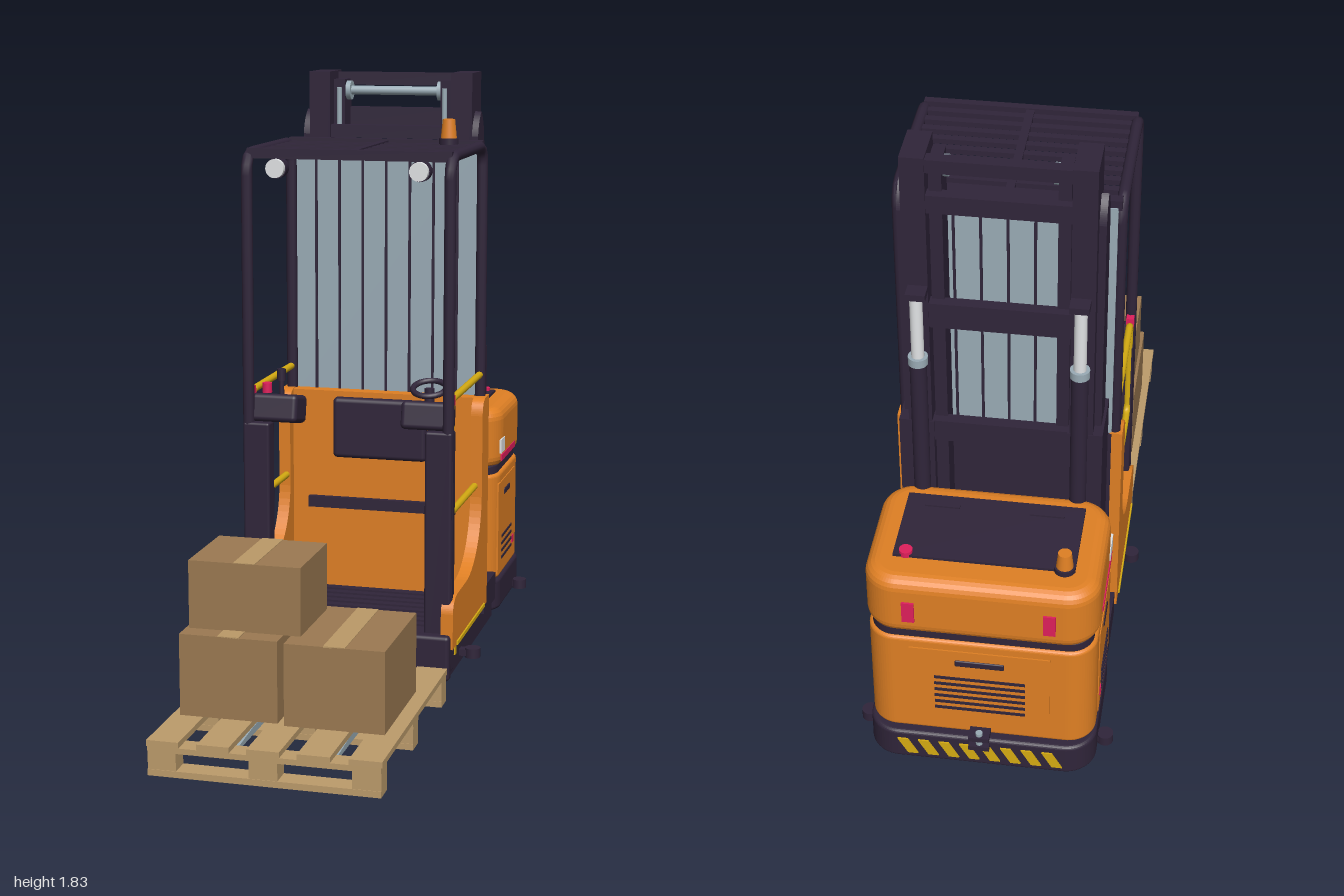
import * as THREE from 'three';
import { RoundedBoxGeometry } from 'three/addons/geometries/RoundedBoxGeometry.js';

const mat = (name, color) => {
  const m = new THREE.MeshStandardMaterial({ color });
  m.name = name;
  return m;
};

export function createModel() {
  const root = new THREE.Group();
  root.name = 'orderPicker';
  const dark = mat('charcoal', 0x30253a), orange = mat('orange', 0xe08024), yellow = mat('yellow', 0xd6ac12);
  const steel = mat('steel', 0x9aacb6), wood = mat('pallet wood', 0xbd9c6c), card = mat('cardboard', 0x9c7a52);
  const tape = mat('tape', 0xbc9a68), red = mat('signal red', 0xe01f5c), white = mat('white', 0xe2e4e6);

  const add = (name, geo, m, x = 0, y = 0, z = 0) => {
    const mesh = new THREE.Mesh(geo, m);
    mesh.name = name;
    mesh.position.set(x, y, z);
    root.add(mesh);
    return mesh;
  };
  // box from its extents, optionally rounded
  const box = (name, m, x0, x1, y0, y1, z0, z1, r = 0) => {
    const s = [Math.abs(x1 - x0), y1 - y0, Math.abs(z1 - z0)];
    const g = r ? new RoundedBoxGeometry(...s, 3, r) : new THREE.BoxGeometry(...s);
    return add(name, g, m, (x0 + x1) / 2, (y0 + y1) / 2, (z0 + z1) / 2);
  };
  const cyl = (name, m, r, h, x, y, z, axis = 'y', r2 = r) => {
    const c = add(name, new THREE.CylinderGeometry(r2, r, h, 24), m, x, y, z);
    if (axis === 'x') c.rotation.z = Math.PI / 2;
    if (axis === 'z') c.rotation.x = Math.PI / 2;
    return c;
  };
  // upright prism with rounded plan corners and softened edges
  const prism = (name, m, w, y0, y1, z0, z1, r, bevel) => {
    const a = w / 2 - bevel, b = (z1 - z0) / 2 - bevel, s = new THREE.Shape();
    const q = r - bevel;
    s.absarc(a - q, b - q, q, 0, Math.PI / 2);
    s.absarc(-a + q, b - q, q, Math.PI / 2, Math.PI);
    s.absarc(-a + q, -b + q, q, Math.PI, Math.PI * 1.5);
    s.absarc(a - q, -b + q, q, Math.PI * 1.5, Math.PI * 2);
    const g = new THREE.ExtrudeGeometry(s, { depth: y1 - y0 - 2 * bevel, bevelThickness: bevel, bevelSize: bevel, bevelSegments: 5, curveSegments: 8 });
    g.rotateX(-Math.PI / 2);
    return add(name, g, m, 0, y0 + bevel, (z0 + z1) / 2);
  };
  // side profile in (z, y), extruded across x
  const side = (name, m, shape, x0, x1) => {
    const g = new THREE.ExtrudeGeometry(shape, { depth: x1 - x0, bevelEnabled: false, curveSegments: 16 });
    g.rotateY(-Math.PI / 2);
    return add(name, g, m, x1, 0, 0);
  };
  // pipe along straight runs with rounded corners
  const pipe = (name, m, pts, r, bend) => {
    const v = pts.map(p => new THREE.Vector3(...p)), path = new THREE.CurvePath();
    let last = v[0];
    for (let i = 1; i < v.length - 1; i++) {
      const a = v[i].clone().add(v[i - 1].clone().sub(v[i]).setLength(bend));
      const b = v[i].clone().add(v[i + 1].clone().sub(v[i]).setLength(bend));
      path.add(new THREE.LineCurve3(last, a));
      path.add(new THREE.QuadraticBezierCurve3(a, v[i], b));
      last = b;
    }
    path.add(new THREE.LineCurve3(last, v[v.length - 1]));
    return add(name, new THREE.TubeGeometry(path, 90, r, 10), m);
  };
  const both = fn => [-1, 1].forEach(fn);

  // chassis
  box('frontChassis', dark, -0.31, 0.31, 0.035, 0.14, -0.56, 0.15);
  prism('rearChassis', dark, 0.66, 0.05, 0.155, -0.98, -0.52, 0.09, 0.012);
  box('frontBumper', dark, -0.325, 0.325, 0.045, 0.185, 0.135, 0.178, 0.012);
  box('undersideHatch', dark, -0.2, 0.2, 0.042, 0.052, -0.85, -0.6);
  box('mastFoot', dark, -0.325, 0.325, 0.1, 0.19, -0.54, -0.355);
  both(s => {
    cyl('frontWheel', dark, 0.05, 0.06, s * 0.26, 0.05, 0.085, 'x');
    cyl('wheelHub', steel, 0.018, 0.07, s * 0.27, 0.05, 0.085, 'x');
    [-0.76, -0.83].forEach(z => {
      cyl('rearWheel', dark, 0.035, 0.05, s * 0.27, 0.038, z, 'x');
      cyl('rearHub', steel, 0.012, 0.06, s * 0.27, 0.038, z, 'x');
    });
    [-0.84, -0.055].forEach(z => {
      cyl('guideRoller', dark, 0.024, 0.03, s * 0.35, 0.07, z);
      box('rollerArm', dark, s * 0.3, s * 0.345, 0.06, 0.08, z - 0.016, z + 0.016);
    });
    box('sillStripe', yellow, s * 0.315, s * 0.337, 0.14, 0.152, -0.31, 0.1);
    box('chassisLabel', yellow, s * 0.308, s * 0.314, 0.085, 0.115, 0.015, 0.035);
  });

  // battery compartment and hood
  prism('batteryCase', orange, 0.65, 0.155, 0.512, -0.955, -0.53, 0.08, 0.012);
  prism('hoodSeal', dark, 0.63, 0.5, 0.54, -0.945, -0.54, 0.07, 0.005);
  prism('hood', orange, 0.66, 0.527, 0.73, -0.96, -0.535, 0.095, 0.04);
  box('hoodTopPlate', dark, -0.255, 0.255, 0.725, 0.738, -0.86, -0.6);
  both(s => {
    box('sidePanel', orange, s * 0.322, s * 0.328, 0.175, 0.48, -0.84, -0.565);
    box('sideHandle', dark, s * 0.322, s * 0.331, 0.425, 0.445, -0.75, -0.66, 0.004);
    for (let i = 0; i < 4; i++) box('sideLouver', dark, s * 0.324, s * 0.331, 0.215 + i * 0.024, 0.223 + i * 0.024, -0.79, -0.62);
    box('sideLabel', red, s * 0.324, s * 0.331, 0.222, 0.248, -0.824, -0.802);
    box('hoodStripe', red, s * 0.327, s * 0.333, 0.555, 0.575, -0.82, -0.59);
    box('hoodBadge', white, s * 0.327, s * 0.333, 0.582, 0.628, -0.64, -0.575);
    box('tailLight', red, s * 0.18, s * 0.215, 0.585, 0.655, -0.966, -0.958);
    box('hoodGrip', dark, s * 0.1, s * 0.2, 0.737, 0.743, -0.652, -0.638);
  });
  box('rearPanel', orange, -0.2, 0.2, 0.19, 0.48, -0.959, -0.953);
  box('rearHandle', dark, -0.07, 0.07, 0.425, 0.447, -0.963, -0.955, 0.004);
  for (let i = 0; i < 6; i++) box('rearLouver', dark, -0.13, 0.13, 0.25 + i * 0.024, 0.259 + i * 0.024, -0.962, -0.955);
  cyl('hoodBeacon', orange, 0.025, 0.055, -0.225, 0.765, -0.85, 'y', 0.019);
  cyl('beaconBase', dark, 0.03, 0.02, -0.225, 0.735, -0.85);
  cyl('stopButton', red, 0.019, 0.02, 0.22, 0.738, -0.845);
  // hazard stripes and tow hitch
  for (let i = 0; i < 8; i++) {
    const s = new THREE.Shape([[0, 0], [0.03, 0], [0.06, 0.055], [0.03, 0.055]].map(p => new THREE.Vector2(...p)));
    add('hazardStripe', new THREE.ExtrudeGeometry(s, { depth: 0.006, bevelEnabled: false }), yellow, -0.24 + i * 0.06, 0.075, -0.985);
  }
  box('towHitch', dark, -0.03, 0.03, 0.13, 0.145, -1, -0.95);
  box('towHitch', dark, -0.03, 0.03, 0.165, 0.18, -1, -0.95);
  cyl('towPin', steel, 0.01, 0.06, 0, 0.16, -0.985);

  // mast
  both(s => {
    box('lowerMastPillar', dark, s * 0.19, s * 0.29, 0.15, 0.95, -0.53, -0.358);
    box('outerMast', dark, s * 0.195, s * 0.262, 0.18, 1.825, -0.528, -0.39);
    box('innerMast', dark, s * 0.155, s * 0.19, 0.2, 1.8, -0.5, -0.42);
    cyl('liftChain', steel, 0.008, 1.55, s * 0.17, 1.0, -0.41);
    cyl('liftBarrel', dark, 0.024, 0.85, s * 0.225, 0.77, -0.55);
    cyl('liftCollar', steel, 0.028, 0.025, s * 0.225, 1.185, -0.55);
    cyl('liftRod', white, 0.018, 0.21, s * 0.225, 1.3, -0.55);
    box('rodCap', dark, s * 0.195, s * 0.25, 1.4, 1.42, -0.575, -0.52);
    // pointed guide plate on the flank of the mast
    const p = new THREE.Shape();
    p.moveTo(-0.39, 0.3); p.lineTo(-0.39, 1.63);
    p.quadraticCurveTo(-0.4, 1.68, -0.44, 1.705);
    p.quadraticCurveTo(-0.475, 1.68, -0.485, 1.63);
    p.lineTo(-0.485, 0.3);
    side('guidePlate', dark, p, s > 0 ? 0.262 : -0.282, s > 0 ? 0.282 : -0.262);
  });
  [[1.78, 1.82], [1.655, 1.71], [1.28, 1.36], [0.88, 0.95]].forEach(([a, b]) => box('mastCrossbar', dark, -0.2, 0.2, a, b, -0.525, -0.49));
  box('lowerMastPlate', dark, -0.2, 0.2, 0.18, 0.8, -0.42, -0.37);
  cyl('topRoller', steel, 0.014, 0.3, 0, 1.765, -0.455, 'x');
  both(s => cyl('rollerEnd', steel, 0.03, 0.02, s * 0.15, 1.765, -0.455, 'x'));
  box('carriageBar', dark, -0.19, 0.19, 1.62, 1.66, -0.42, -0.38);

  // ribbed screen behind the operator
  box('screen', steel, -0.3, 0.3, 0.8, 1.6, -0.355, -0.345);
  for (let i = -3; i <= 3; i++) box('screenRib', dark, i * 0.076 - 0.004, i * 0.076 + 0.004, 0.82, 1.6, -0.358, -0.341);

  // cab shell
  const p = new THREE.Shape();
  p.moveTo(0.155, 0.14); p.lineTo(0.155, 0.25);
  p.quadraticCurveTo(0.15, 0.295, 0.09, 0.298); p.lineTo(-0.05, 0.3);
  p.bezierCurveTo(-0.16, 0.31, -0.255, 0.39, -0.262, 0.51);
  p.lineTo(-0.262, 0.77); p.quadraticCurveTo(-0.265, 0.82, -0.31, 0.822);
  p.lineTo(-0.36, 0.822); p.lineTo(-0.36, 0.14);
  side('sideShell', orange, p, 0.295, 0.332);
  side('sideShell', orange, p, -0.332, -0.295);
  box('backWall', orange, -0.3, 0.3, 0.15, 0.82, -0.35, -0.3);
  box('backWallRear', dark, -0.3, 0.3, 0.15, 0.82, -0.365, -0.35);
  box('backrest', dark, -0.155, 0.15, 0.61, 0.805, -0.3, -0.262, 0.015);
  box('hipRail', dark, -0.24, 0.24, 0.44, 0.475, -0.302, -0.28);
  box('floor', dark, -0.297, 0.297, 0.13, 0.178, -0.31, 0.14);
  for (let i = 0; i < 8; i++) box('floorRib', dark, -0.26, 0.26, 0.177, 0.184, -0.275 + i * 0.045, -0.25 + i * 0.045);
  both(s => box('pedal', red, s * 0.02 - 0.015, s * 0.02 + 0.015, 0.178, 0.19, 0.07, 0.1));

  // overhead guard, posts, gates and consoles
  both(s => {
    const x = s * 0.308;
    pipe('guardFrame', dark, [[x, 0.25, 0.128], [x, 1.607, 0.128], [x, 1.607, -0.337], [x, 0.8, -0.337]], 0.017, 0.06);
    box('frontPost', dark, s * 0.24, s * 0.322, 0.06, 0.8, 0.088, 0.145, 0.008);
    pipe('gateRail', yellow, [[x, 0.89, -0.33], [x, 0.89, 0.095], [x, 0.545, 0.095], [x, 0.545, -0.27]], 0.011, 0.035);
    box('gateHinge', red, x - 0.012, x + 0.012, 0.875, 0.905, 0.09, 0.115);
    const c = box('console', dark, s * 0.16, s * 0.305, 0.79, 0.875, 0.005, 0.125, 0.015);
    c.rotation.x = -0.2;
    cyl('headlight', white, 0.028, 0.03, s * 0.217, 1.565, 0.13, 'z');
    cyl('headlightShell', dark, 0.031, 0.03, s * 0.217, 1.565, 0.112, 'z');
  });
  box('guardFrontBar', dark, -0.31, 0.31, 1.592, 1.622, 0.095, 0.12);
  box('guardRearBar', dark, -0.31, 0.31, 1.592, 1.622, -0.35, -0.32);
  for (let i = 0; i < 8; i++) box('roofSlat', dark, -0.305, 0.305, 1.598, 1.614, -0.285 + i * 0.049, -0.262 + i * 0.049);
  box('roofSpine', dark, -0.012, 0.012, 1.592, 1.618, -0.33, 0.11);
  cyl('roofBeaconBase', dark, 0.03, 0.02, 0.213, 1.622, -0.28);
  cyl('roofBeacon', orange, 0.025, 0.06, 0.213, 1.66, -0.28, 'y', 0.019);
  cyl('emergencyButton', red, 0.015, 0.03, -0.275, 0.89, 0.045);
  cyl('joystickStem', dark, 0.008, 0.08, -0.225, 0.9, 0.06);
  cyl('joystickKnob', dark, 0.013, 0.035, -0.225, 0.935, 0.06);
  const wheel = add('steeringWheel', new THREE.TorusGeometry(0.05, 0.009, 8, 24), dark, 0.235, 0.915, 0.06);
  wheel.rotation.x = Math.PI / 2 + 0.3;
  cyl('steeringColumn', dark, 0.015, 0.05, 0.235, 0.89, 0.06);

  // fork carriage and forks
  box('forkMount', orange, -0.08, 0.08, 0.09, 0.19, 0.17, 0.21);
  box('forkBlock', steel, -0.065, 0.065, 0.055, 0.11, 0.2, 0.285);
  both(s => {
    const f = new THREE.Shape([[0.175, 0.04], [0.94, 0.046], [0.94, 0.052], [0.75, 0.066], [0.21, 0.068], [0.21, 0.18], [0.175, 0.18]].map(q => new THREE.Vector2(...q)));
    side('fork', steel, f, s * 0.14 - 0.033, s * 0.14 + 0.033);
  });

  // pallet
  [-0.2825, -0.14, 0, 0.14, 0.2825].forEach(x => box('palletTopBoard', wood, x - 0.0455, x + 0.0455, 0.083, 0.1, 0.21, 1));
  [0.242, 0.605, 0.968].forEach(z => {
    box('palletCrossBoard', wood, -0.325, 0.325, 0.068, 0.084, z - 0.032, z + 0.032);
    box('palletBottomBoard', wood, -0.325, 0.325, 0, 0.018, z - 0.032, z + 0.032);
    [-0.285, 0, 0.285].forEach(x => box('palletBlock', wood, x - 0.04, x + 0.04, 0.017, 0.069, z - 0.03, z + 0.03));
  });

  // cartons with tape along the lid
  [[-0.305, -0.022, 0.1, 0.335, 0.42, 0.79], [0, 0.285, 0.1, 0.335, 0.432, 0.802], [-0.296, 0.028, 0.335, 0.53, 0.458, 0.73]].forEach(([x0, x1, y0, y1, z0, z1]) => {
    const c = (x0 + x1) / 2;
    box('carton', card, x0, x1, y0, y1, z0, z1);
    box('cartonTape', tape, c - 0.031, c + 0.031, y1 - 0.002, y1 + 0.002, z0, z1);
  });
  return root;
}
